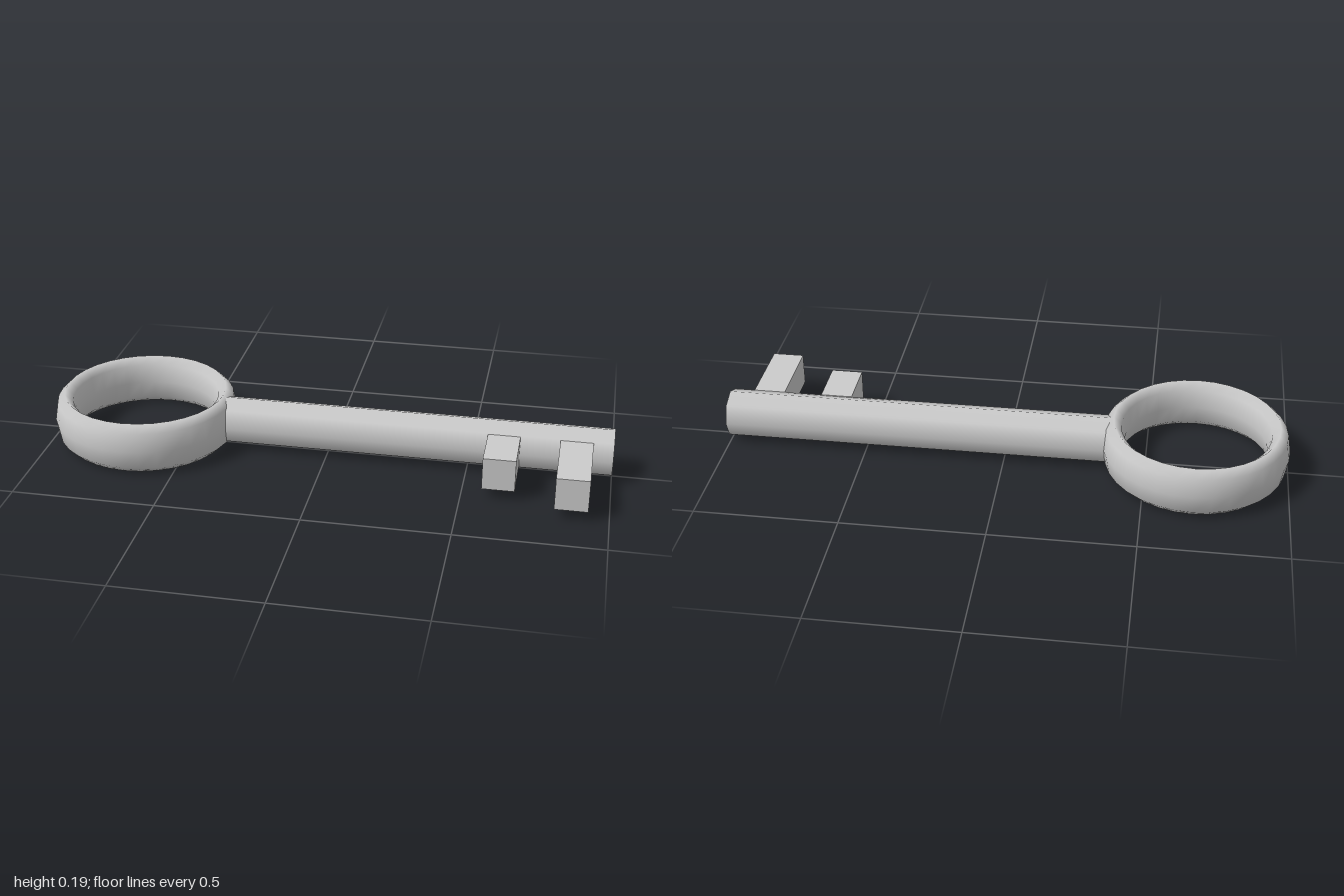
import * as THREE from 'three';

export function createModel() {
  const group = new THREE.Group();
  const material = new THREE.MeshStandardMaterial({ color: 0xcccccc });
  const midY = 0.093;

  function add(name, geometry, x, y, z) {
    const mesh = new THREE.Mesh(geometry, material);
    mesh.name = name;
    mesh.position.set(x, y, z);
    group.add(mesh);
    return mesh;
  }

  // Ring handle: a flat-lying torus stretched along its axis
  const ringGeo = new THREE.TorusGeometry(0.289, 0.039, 8, 32);
  ringGeo.scale(1, 1, 0.0925 / 0.039);
  ringGeo.rotateX(Math.PI / 2);
  add('ringHandle', ringGeo, -0.672, midY, -0.005);

  // Eight-sided shaft, its left end buried in the ring
  const start = -0.39, end = 1;
  const shaftGeo = new THREE.CylinderGeometry(0.085, 0.085, end - start, 8);
  shaftGeo.rotateZ(-Math.PI / 2);
  add('shaft', shaftGeo, (start + end) / 2, midY, -0.003);

  // Two teeth of different lengths, rooted inside the shaft
  const teeth = [['shortTooth', 0.626, 0.24], ['longTooth', 0.874, 0.333]];
  for (const [name, x, tip] of teeth) {
    add(name, new THREE.BoxGeometry(0.112, 0.115, tip), x, midY, tip / 2);
  }

  return group;
}
